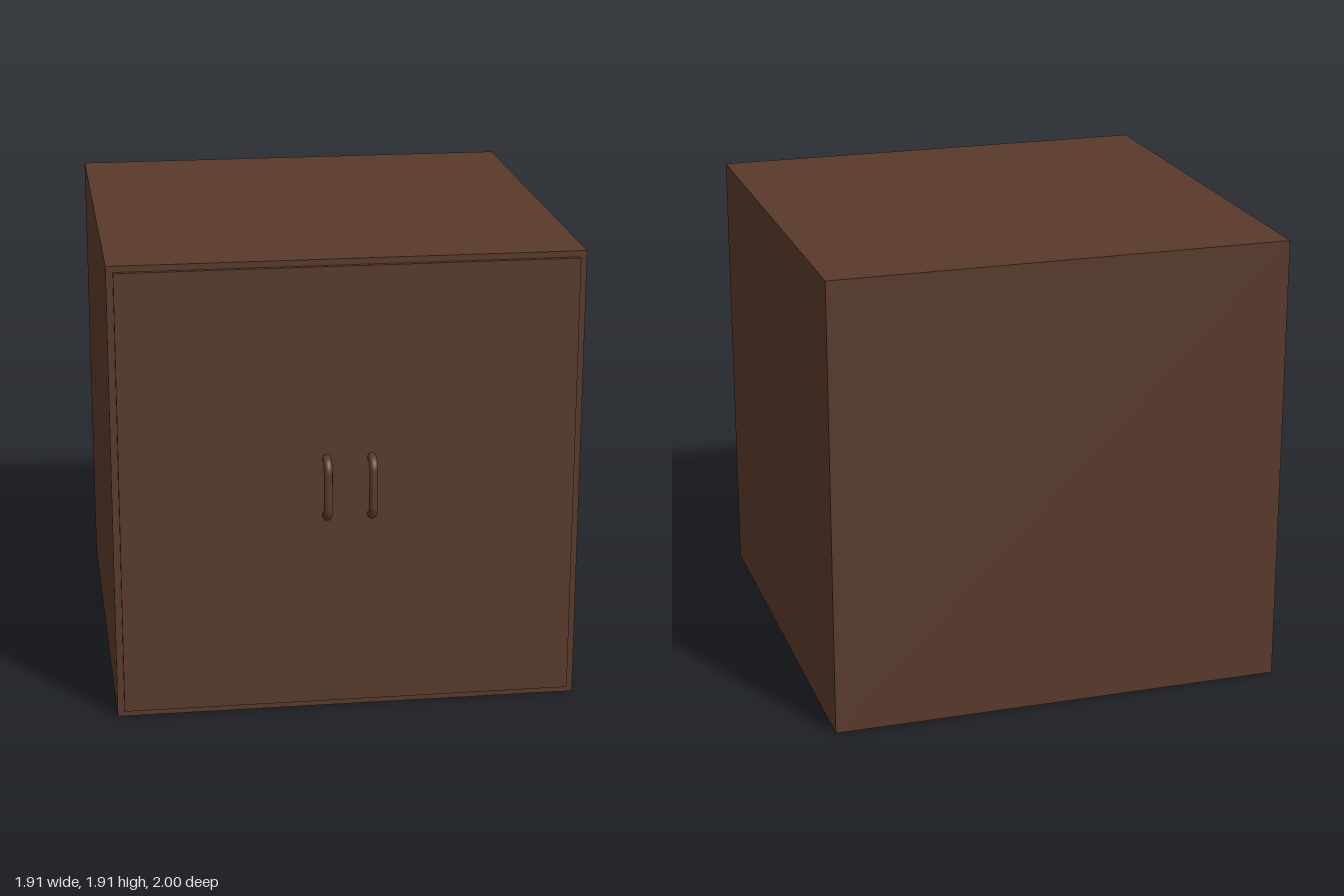
import * as THREE from 'three';

export function createModel() {
  const model = new THREE.Group();
  model.name = 'cabinet';
  const wood = new THREE.MeshStandardMaterial({ color: 0x593a2b });
  wood.name = 'darkBrownWood';

  const add = (name, geometry, x, y, z) => {
    const mesh = new THREE.Mesh(geometry, wood);
    mesh.name = name;
    mesh.position.set(x, y, z);
    model.add(mesh);
  };

  // Carcass
  add('cabinetBody', new THREE.BoxGeometry(1.91, 1.91, 1.91), 0, 0.955, -0.045);

  // Bow handle path: out from the door, up, and back in, with rounded bends
  const low = -0.121, high = 0.121, reach = 0.057, bend = 0.055;
  const v = (y, z) => new THREE.Vector3(0, y, z);
  const path = new THREE.CurvePath();
  path.add(new THREE.LineCurve3(v(low, -0.01), v(low, reach - bend)));
  path.add(new THREE.QuadraticBezierCurve3(v(low, reach - bend), v(low, reach), v(low + bend, reach)));
  path.add(new THREE.LineCurve3(v(low + bend, reach), v(high - bend, reach)));
  path.add(new THREE.QuadraticBezierCurve3(v(high - bend, reach), v(high, reach), v(high, reach - bend)));
  path.add(new THREE.LineCurve3(v(high, reach - bend), v(high, -0.01)));
  const handle = new THREE.TubeGeometry(path, 64, 0.018, 16, false);

  // Paired doors meeting in the middle, each with its handle
  for (const [side, s] of [['left', 1], ['right', -1]]) {
    add(side + 'Door', new THREE.BoxGeometry(0.927, 1.856, 0.02), s * 0.4635, 0.957, 0.92);
    add(side + 'Handle', handle, s * 0.092, 0.969, 0.925);
  }
  return model;
}
